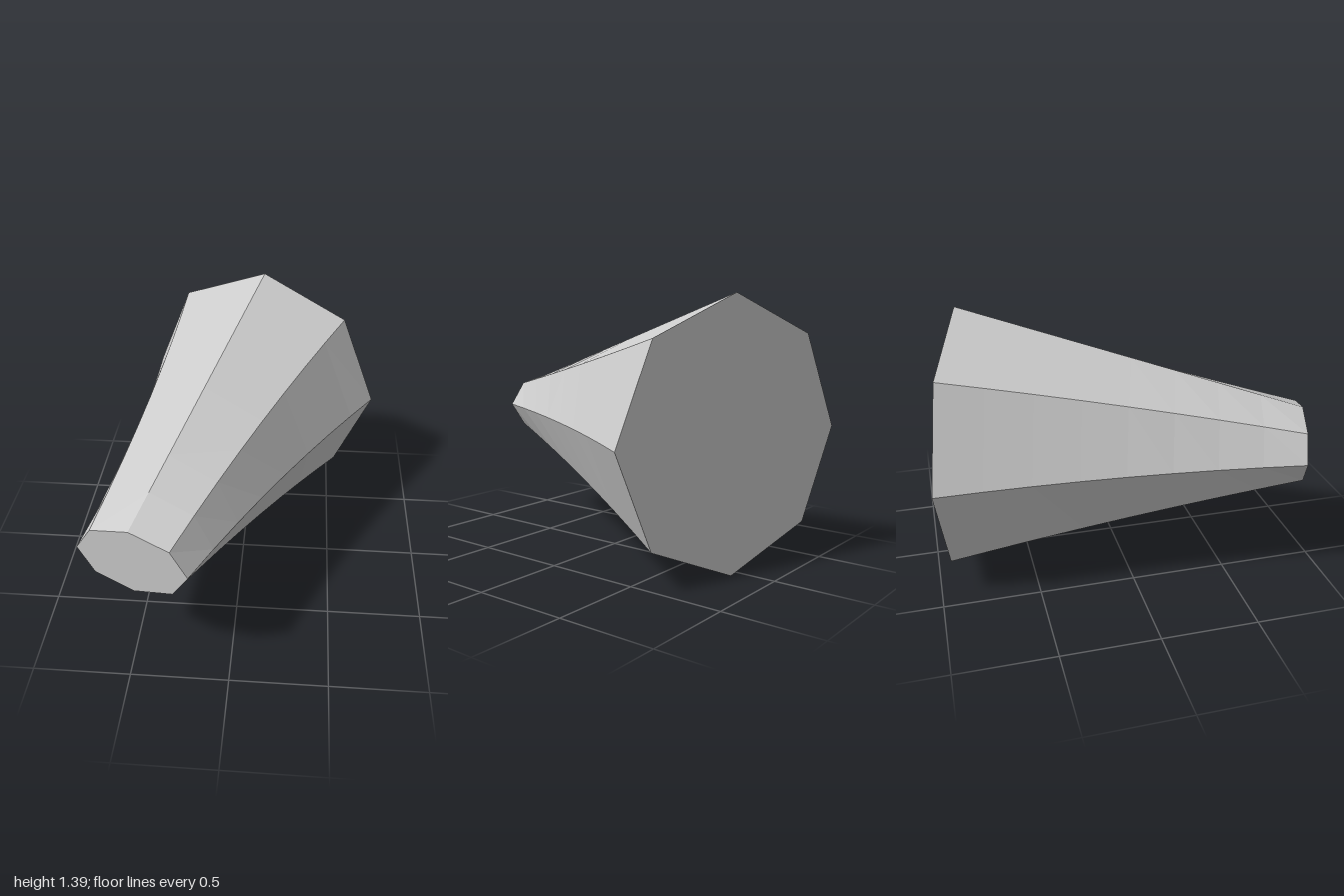
import * as THREE from 'three';

// Eight-sided tapered body: the height narrows evenly, the width narrows along a concave curve.
export function createModel() {
  const group = new THREE.Group();
  group.name = 'taperedOctagon';

  const grey = new THREE.MeshStandardMaterial({ color: 0xcccccc, flatShading: true });
  grey.name = 'light grey';

  const back = new THREE.Vector3(0.065, 0.7, -0.793);
  const front = new THREE.Vector3(-0.457, 0.7, 0.909);
  const side = new THREE.Vector3(0.955, 0, 0.297); // width direction, square to the axis

  const geometry = new THREE.CylinderGeometry(1, 1, 1, 8, 8);
  const pos = geometry.attributes.position;
  const p = new THREE.Vector3();
  for (let i = 0; i < pos.count; i++) {
    const t = pos.getY(i) + 0.5; // 0 at the wide back, 1 at the narrow front
    const halfWidth = THREE.MathUtils.lerp(0.697, 0.29, t) - 0.16 * t * (1 - t);
    const halfHeight = THREE.MathUtils.lerp(0.697, 0.187, t);
    p.lerpVectors(back, front, t).addScaledVector(side, pos.getX(i) * halfWidth);
    p.y -= pos.getZ(i) * halfHeight;
    pos.setXYZ(i, p.x, p.y, p.z);
  }
  geometry.computeVertexNormals();

  const body = new THREE.Mesh(geometry, grey);
  body.name = 'body';
  group.add(body);
  return group;
}
